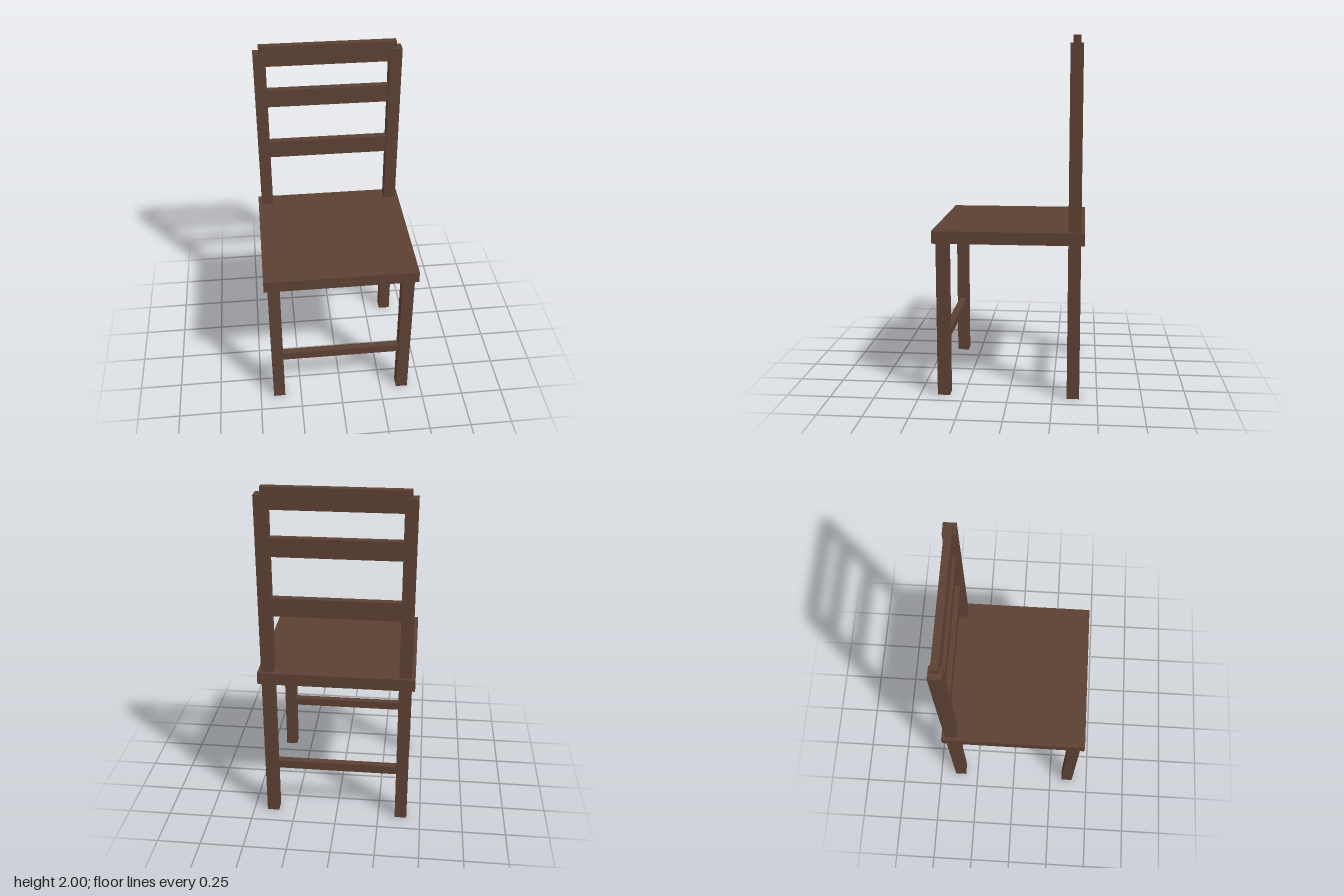
import * as THREE from 'three';

export function createModel() {
  const chair = new THREE.Group();
  chair.name = 'chair';

  const wood = new THREE.MeshStandardMaterial({ color: 0x5c4033 });
  wood.name = 'dark brown wood';

  // Box resting with its underside at height y
  function board(name, width, height, depth, x, y, z) {
    const mesh = new THREE.Mesh(new THREE.BoxGeometry(width, height, depth), wood);
    mesh.name = name;
    mesh.position.set(x, y + height / 2, z);
    chair.add(mesh);
  }

  const legX = 0.385, legZ = 0.365, legWidth = 0.07;

  board('seat', 0.88, 0.07, 0.84, 0, 0.88, 0);

  // Front legs stop under the seat, back legs run on up as back posts
  for (const [side, s] of [['left', 1], ['right', -1]]) {
    board(side + 'FrontLeg', legWidth, 0.88, legWidth, s * legX, 0, legZ);
    board(side + 'BackPost', legWidth, 1.96, legWidth, s * legX, 0, -legZ);
  }

  // Stretchers between the legs
  board('frontStretcher', 0.77, 0.05, 0.04, 0, 0.3, legZ);
  board('backStretcher', 0.77, 0.05, 0.04, 0, 0.3, -legZ);

  // Backrest: two slats and a taller top rail
  board('lowerSlat', 0.77, 0.105, 0.04, 0, 1.285, -legZ);
  board('upperSlat', 0.77, 0.105, 0.04, 0, 1.625, -legZ);
  board('topRail', 0.775, 0.12, 0.04, 0, 1.88, -legZ);

  return chair;
}
